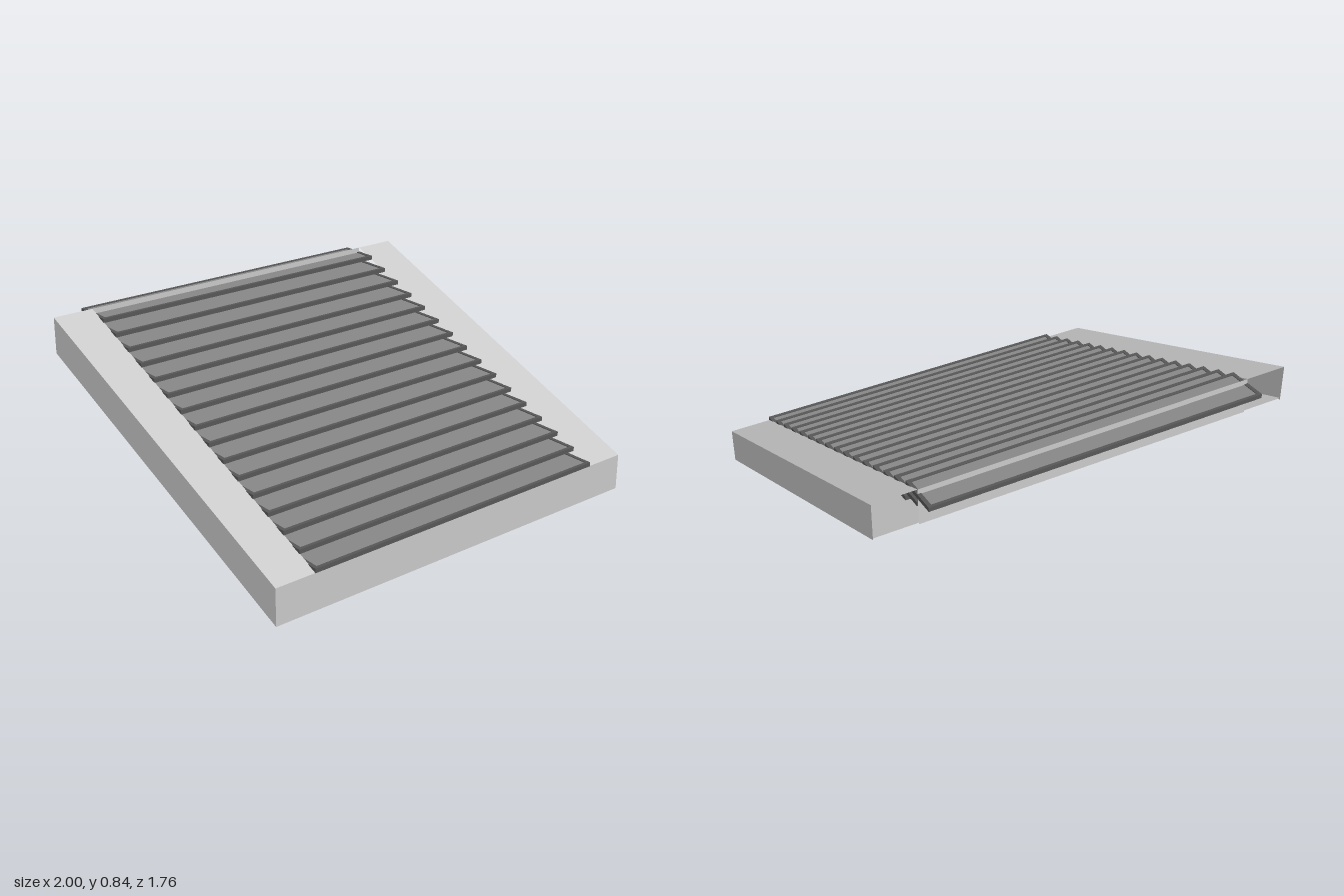
import * as THREE from 'three';

const mat = (name, color, side = THREE.FrontSide) => {
  const m = new THREE.MeshStandardMaterial({ color, side });
  m.name = name;
  return m;
};

// Ramp dimensions
const FRONT = 0.88, BACK = -0.78, RISE = 0.665, WALL = 0.172;
const STEPS = 16, RUN = 0.104, STEP_RISE = 0.0416, DEPTH = 0.2, HALF = 0.803;

export function createModel() {
  const model = new THREE.Group();
  model.name = 'steppedRamp';
  const housing = mat('light grey housing', 0xcacaca, THREE.DoubleSide);
  const rimMat = mat('dark grey rim', 0x585858);
  const panelMat = mat('mid grey tread', 0x888888);
  const darkMat = mat('dark underside', 0x5e5e5e);
  const blackMat = mat('black channel', 0x282828);
  const patchMat = mat('underside plate grey', 0xc4c4c4);

  const add = (name, geometry, material, parent = model) => {
    const mesh = new THREE.Mesh(geometry, material);
    mesh.name = name;
    parent.add(mesh);
    return mesh;
  };

  // Flat sheet from four corners
  const quad = (...corners) => {
    const g = new THREE.BufferGeometry();
    g.setAttribute('position', new THREE.Float32BufferAttribute(corners.flat(), 3));
    g.setIndex([0, 1, 2, 0, 2, 3]);
    g.computeVertexNormals();
    return g;
  };

  // Housing: side walls, sloped side strips, front, back and floor sheets
  for (const s of [1, -1]) {
    const side = s > 0 ? 'left' : 'right';
    const wall = [[s, 0, FRONT], [s, RISE, BACK], [s, RISE + WALL, BACK], [s, WALL, FRONT]];
    const strip = [[s * 0.8, WALL, FRONT], [s, WALL, FRONT], [s, RISE + WALL, BACK], [s * 0.8, RISE + WALL, BACK]];
    if (s < 0) { wall.reverse(); strip.reverse(); }
    add(side + 'Wall', quad(...wall), housing);
    add(side + 'TopStrip', quad(...strip), housing);
  }
  add('frontWall', quad([-1, 0, FRONT], [1, 0, FRONT], [1, WALL, FRONT], [-1, WALL, FRONT]), housing);
  add('backWall', quad([0.8, RISE, BACK], [-0.8, RISE, BACK], [-0.8, RISE + WALL, BACK], [0.8, RISE + WALL, BACK]), housing);
  add('floor', quad([-1, 0.008, FRONT], [1, 0.008, FRONT], [1, RISE + 0.008, BACK], [-1, RISE + 0.008, BACK]), housing);

  // Underside plates: s runs across, t runs up the slope, both 0 to 1
  const underside = new THREE.Group();
  underside.name = 'underside';
  model.add(underside);
  const under = (name, s0, s1, t0, t1, lift, material, r = 0) => {
    const p = new THREE.Shape();
    p.moveTo(s0 + r, t0);
    p.lineTo(s1 - r, t0); p.quadraticCurveTo(s1, t0, s1, t0 + r);
    p.lineTo(s1, t1 - r); p.quadraticCurveTo(s1, t1, s1 - r, t1);
    p.lineTo(s0 + r, t1); p.quadraticCurveTo(s0, t1, s0, t1 - r);
    p.lineTo(s0, t0 + r); p.quadraticCurveTo(s0, t0, s0 + r, t0);
    const g = new THREE.ShapeGeometry(p, 4);
    const pos = g.attributes.position;
    for (let i = 0; i < pos.count; i++) {
      const s = pos.getX(i), t = pos.getY(i);
      pos.setXYZ(i, 1 - 2 * s, RISE * t + lift, FRONT + (BACK - FRONT) * t);
    }
    g.computeVertexNormals();
    add(name, g, material, underside);
  };
  under('bottomSheet', 0, 1, 0, 1, 0.005, darkMat);
  for (const flip of [false, true]) {
    const half = (name, a, b, ...rest) => flip ? under(name, 1 - b, 1 - a, ...rest) : under(name, a, b, ...rest);
    half('edgeStrip', 0.025, 0.065, 0, 1, 0.002, patchMat);
    half('centreChannel', 0.405, 0.445, 0, 1, 0.002, blackMat);
    for (const [t0, t1] of [[0, 0.14], [0.475, 0.615]])
      half('shortChannel', 0.25, 0.3, t0, t1, 0.002, blackMat);
    for (const [t0, t1] of [[0.14, 0.475], [0.615, 0.96]]) {
      half('accessPlate', 0.12, 0.4, t0, t1, 0.002, patchMat, 0.025);
      // Small latches on the plate edges
      half('latch', 0.262, 0.288, t0, t0 + 0.025, 0, darkMat, 0.008);
      for (const t of [t0 + 0.23])
        for (const s of [0.12, 0.365]) half('latch', s, s + 0.035, t, t + 0.02, 0, darkMat, 0.006);
    }
  }

  // Treads: raised rim around a recessed panel
  const rect = (Type, x, z0, z1) => new Type([[-x, z0], [x, z0], [x, z1], [-x, z1]].map(p => new THREE.Vector2(...p)));
  const frame = rect(THREE.Shape, HALF, 0, DEPTH);
  frame.holes.push(rect(THREE.Path, 0.785, 0.016, DEPTH - 0.014));
  const rimGeo = new THREE.ExtrudeGeometry(frame, { depth: 0.02, bevelEnabled: false }).rotateX(-Math.PI / 2);
  const baseGeo = new THREE.BoxGeometry(1.58, 0.012, DEPTH - 0.02).translate(0, 0.007, -DEPTH / 2);
  const panelGeo = new THREE.BoxGeometry(1.57, 0.004, DEPTH - 0.03).translate(0, 0.0145, -DEPTH / 2 - 0.001);
  for (let i = 0; i < STEPS; i++) {
    const tread = new THREE.Group();
    tread.name = 'tread' + (i + 1);
    tread.position.set(0, 0.171 + i * STEP_RISE, FRONT + 0.001 - i * RUN);
    add('treadRim', rimGeo, rimMat, tread);
    add('treadBase', baseGeo, rimMat, tread);
    add('treadPanel', panelGeo, panelMat, tread);
    model.add(tread);
  }
  return model;
}
